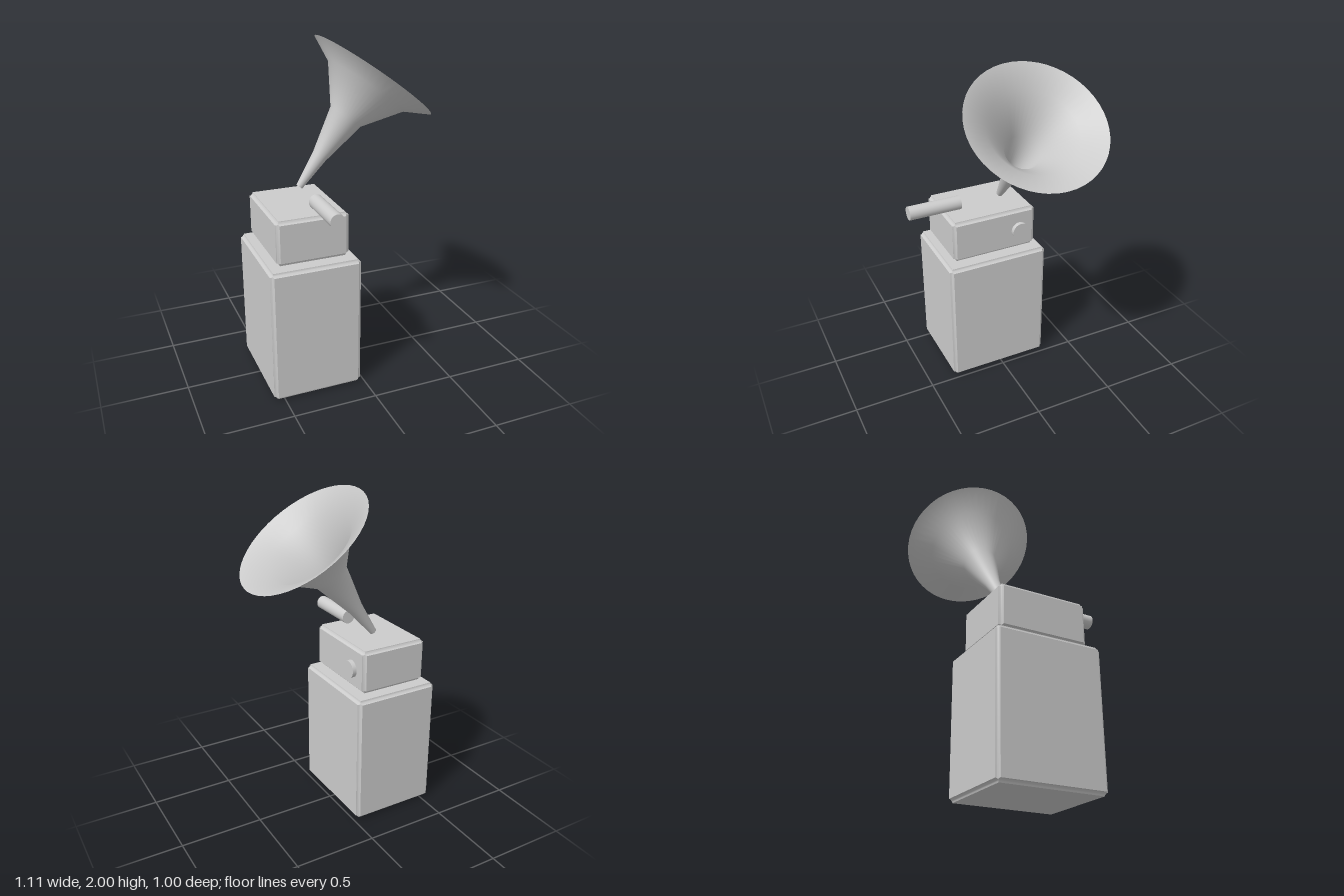
import * as THREE from 'three';
import { toCreasedNormals } from 'three/addons/utils/BufferGeometryUtils.js';

const material = new THREE.MeshStandardMaterial({ color: 0xcccccc });
const thin = new THREE.MeshStandardMaterial({ color: 0xcccccc, side: THREE.DoubleSide });

function add(group, name, geometry, mat, x, y, z) {
  const mesh = new THREE.Mesh(geometry, mat);
  mesh.name = name;
  mesh.position.set(x, y, z);
  group.add(mesh);
  return mesh;
}

// Box with a hollow cove of radius r cut along all twelve edges, standing on y = 0
function covedBox(w, h, d, r) {
  const n = 5;
  const shape = new THREE.Shape();
  const a = w / 2, b = d / 2, q = Math.PI / 2;
  shape.moveTo(a, -b + r);
  shape.lineTo(a, b - r);
  shape.absarc(a, b, r, 3 * q, 2 * q, true);
  shape.lineTo(-a + r, b);
  shape.absarc(-a, b, r, 0, -q, true);
  shape.lineTo(-a, -b + r);
  shape.absarc(-a, -b, r, q, 0, true);
  shape.lineTo(a - r, -b);
  shape.absarc(a, -b, r, 2 * q, q, true);

  const levels = 2 * n + 1;
  const geometry = new THREE.ExtrudeGeometry(shape, {
    depth: levels, steps: levels, bevelEnabled: false, curveSegments: n,
  });
  // Each level of the extrusion follows the cove at the bottom or top edge
  const p = geometry.attributes.position;
  for (let i = 0; i < p.count; i++) {
    const k = Math.round(p.getZ(i));
    const angle = q * Math.min(k, levels - k) / n;
    const rise = r * Math.sin(angle), inset = r * Math.cos(angle);
    const x = THREE.MathUtils.clamp(p.getX(i), -a + inset, a - inset);
    const y = THREE.MathUtils.clamp(p.getY(i), -b + inset, b - inset);
    p.setXYZ(i, x, y, k <= n ? rise : h - rise);
  }
  geometry.rotateX(-q);
  geometry.deleteAttribute('uv');
  geometry.deleteAttribute('normal');
  return toCreasedNormals(geometry, 0.6);
}

export function createModel() {
  const model = new THREE.Group();
  model.name = 'hornPlayer';

  // Cabinet and the smaller case resting above it
  add(model, 'cabinet', covedBox(0.54, 0.81, 0.64, 0.02), material, -0.29, 0, 0.015);
  add(model, 'upperCase', covedBox(0.428, 0.265, 0.54, 0.02), material, -0.291, 0.825, 0.015);

  // Round knob on the left side
  const knob = new THREE.CylinderGeometry(0.053, 0.053, 0.026, 32).rotateZ(Math.PI / 2);
  add(model, 'sideKnob', knob, material, -0.053, 0.957, -0.143);

  // Horizontal cylinder on top, reaching out past the front
  const roll = new THREE.CylinderGeometry(0.042, 0.042, 0.325, 32).rotateX(Math.PI / 2);
  add(model, 'cylinder', roll, material, -0.237, 1.14, 0.34);

  // Flaring horn, open at the mouth
  const profile = [[0.021, 0], [0.045, 0.21], [0.106, 0.49], [0.264, 0.701], [0.405, 0.775]]
    .map(([r, y]) => new THREE.Vector2(r, y));
  const horn = add(model, 'horn', new THREE.LatheGeometry(profile, 48), thin, -0.24, 1.139, -0.093);
  horn.rotation.z = -Math.atan2(0.6, 0.8);

  return model;
}
